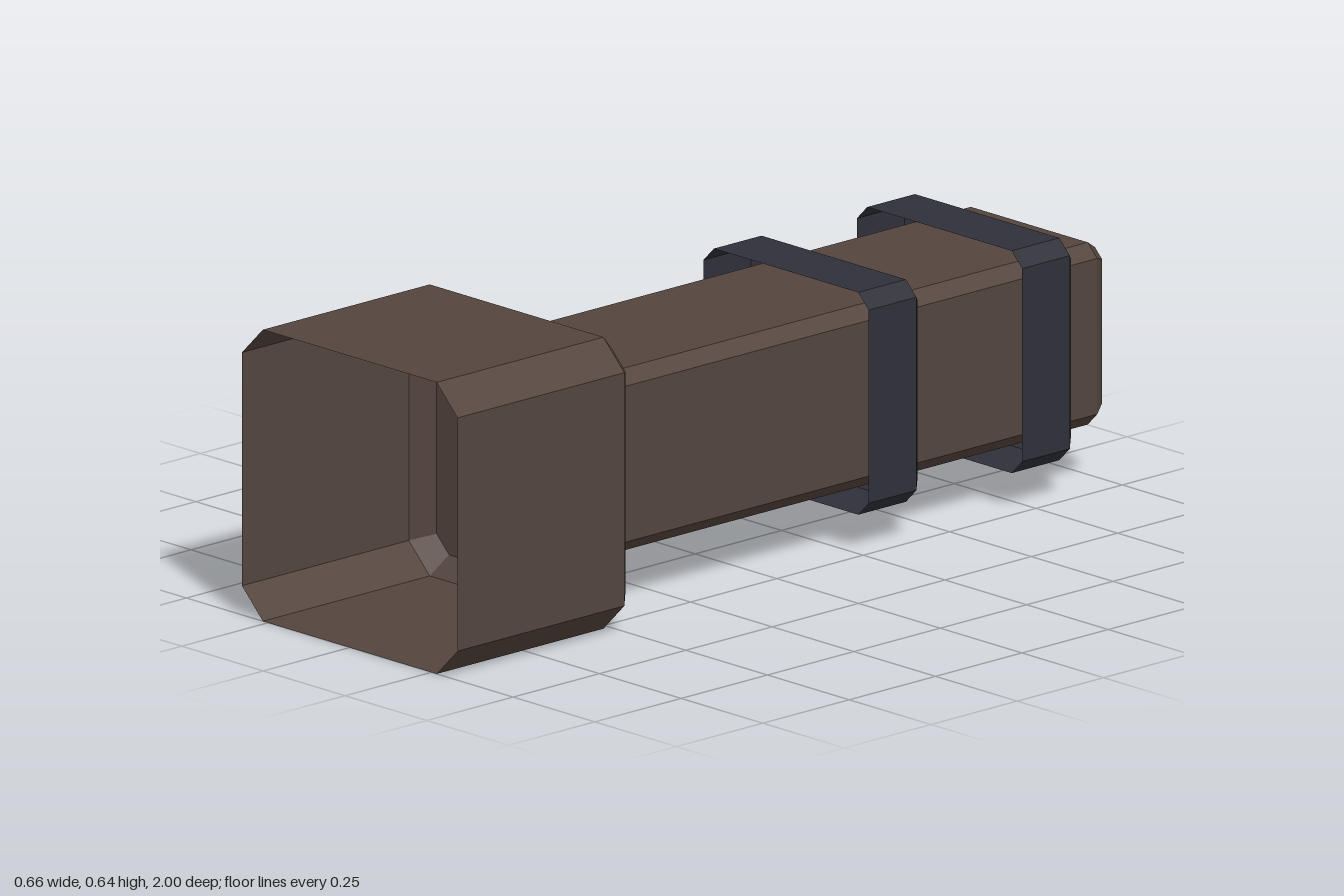
import * as THREE from 'three';

const brown = new THREE.MeshStandardMaterial({ color: 0x54453e, side: THREE.DoubleSide, flatShading: true });
brown.name = 'brown';
const charcoal = new THREE.MeshStandardMaterial({ color: 0x2f3039, side: THREE.DoubleSide, flatShading: true });
charcoal.name = 'charcoal';

// Rectangle with chamfered corners: half width, half height, chamfer, centre height
function outline(w, h, c, cy) {
  return [[w, c - h], [w, h - c], [w - c, h], [c - w, h],
    [-w, h - c], [-w, c - h], [c - w, -h], [w - c, -h]].map(([x, y]) => new THREE.Vector2(x, y + cy));
}

// Skin through outlines ordered from front to back
function skin(sections) {
  const pos = [];
  for (let s = 0; s < sections.length - 1; s++) {
    const [a, za] = sections[s], [b, zb] = sections[s + 1];
    for (let i = 0; i < a.length; i++) {
      const j = (i + 1) % a.length;
      const A = [a[i].x, a[i].y, za], B = [a[j].x, a[j].y, za];
      const C = [b[j].x, b[j].y, zb], D = [b[i].x, b[i].y, zb];
      pos.push(...A, ...C, ...B, ...A, ...D, ...C);
    }
  }
  const g = new THREE.BufferGeometry();
  g.setAttribute('position', new THREE.Float32BufferAttribute(pos, 3));
  // outward winding
  for (let i = 0; i < pos.length; i += 9) {
    for (let k = 0; k < 3; k++) {
      const t = g.attributes.position.array[i + 3 + k];
      g.attributes.position.array[i + 3 + k] = g.attributes.position.array[i + 6 + k];
      g.attributes.position.array[i + 6 + k] = t;
    }
  }
  g.computeVertexNormals();
  orient(g);
  return g;
}

// Flip the whole skin if its first side face points inward
function orient(g) {
  const p = g.attributes.position, n = g.attributes.normal;
  if (n.getX(0) * p.getX(0) >= 0) return;
  const a = p.array;
  for (let i = 0; i < a.length; i += 9) {
    for (let k = 0; k < 3; k++) [a[i + 3 + k], a[i + 6 + k]] = [a[i + 6 + k], a[i + 3 + k]];
  }
  g.computeVertexNormals();
}

// Flat wall facing back, optionally with an opening
function wall(points, z, hole) {
  const shape = new THREE.Shape(points);
  if (hole) shape.holes.push(new THREE.Path(hole));
  return new THREE.ShapeGeometry(shape).scale(-1, 1, 1).rotateY(Math.PI).scale(1, 1, -1).translate(0, 0, z);
}

// Open-fronted box whose back rim is bevelled
function shell(name, material, { w, h, c, cy, front, back, inset, depth, endChamfer, hole }) {
  const group = new THREE.Group();
  group.name = name;
  const side = outline(w, h, c, cy);
  const end = outline(w - inset, h - inset, endChamfer, cy);
  const body = new THREE.Mesh(skin([[side, front], [side, back + depth], [end, back]]), material);
  body.name = name + 'Sides';
  const cap = new THREE.Mesh(wall(end, back, hole), material);
  cap.name = name + 'BackWall';
  group.add(body, cap);
  return group;
}

export function createModel() {
  const model = new THREE.Group();
  model.name = 'model';
  const shaftOutline = outline(0.208, 0.2, 0.029, 0.325);

  // Hollow head, open at the front
  model.add(shell('head', brown, {
    w: 0.33, h: 0.32, c: 0.064, cy: 0.321, front: 1, back: 0.475,
    inset: 0.041, depth: 0.042, endChamfer: 0.038, hole: shaftOutline,
  }));

  // Long shaft with a plate closing its front end
  model.add(shell('shaft', brown, {
    w: 0.208, h: 0.2, c: 0.029, cy: 0.325, front: 0.475, back: -1,
    inset: 0.02, depth: 0.033, endChamfer: 0.022,
  }));
  const plate = new THREE.Mesh(wall(shaftOutline, 0.445), brown);
  plate.name = 'shaftFrontPlate';
  model.add(plate);

  // Two collars round the shaft
  [['frontCollar', -0.263], ['rearCollar', -0.707]].forEach(([name, front]) => {
    model.add(shell(name, charcoal, {
      w: 0.253, h: 0.244, c: 0.032, cy: 0.325, front, back: front - 0.162,
      inset: 0.022, depth: 0.024, endChamfer: 0.026, hole: shaftOutline,
    }));
  });
  return model;
}
